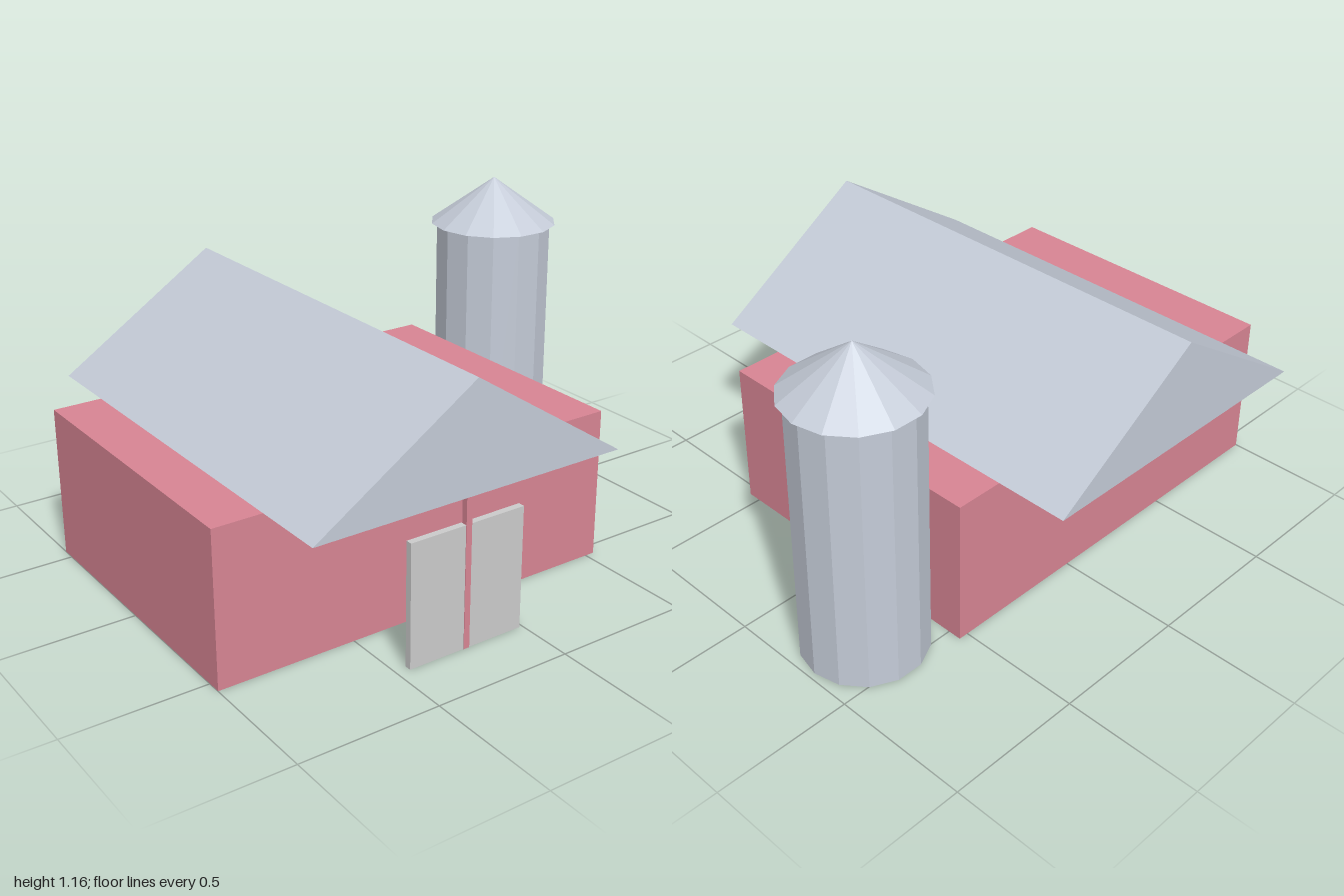
import * as THREE from 'three';

const red = new THREE.MeshStandardMaterial({ color: 0xd88594, flatShading: true });
const metal = new THREE.MeshStandardMaterial({ color: 0xc5ccd8, flatShading: true });
const grey = new THREE.MeshStandardMaterial({ color: 0xcccccc, flatShading: true });

export function createModel() {
  const model = new THREE.Group();
  model.name = 'barnWithSilo';

  const add = (name, geometry, material, x, y, z, parent = model) => {
    const mesh = new THREE.Mesh(geometry, material);
    mesh.name = name;
    mesh.position.set(x, y, z);
    parent.add(mesh);
    return mesh;
  };

  const barnX = -0.232;

  // Barn walls
  add('barnBody', new THREE.BoxGeometry(1.535, 0.55, 1.1), red, barnX, 0.275, 0);

  // Gabled roof: a solid triangular prism along z
  const gable = new THREE.Shape([
    new THREE.Vector2(-0.59, 0),
    new THREE.Vector2(0.59, 0),
    new THREE.Vector2(0, 0.385),
  ]);
  const roof = new THREE.ExtrudeGeometry(gable, { depth: 1.64, bevelEnabled: false });
  add('roof', roof, metal, barnX, 0.55, -0.82);

  // Double door standing under the front overhang, with a post between the leaves
  const doorway = new THREE.Group();
  doorway.name = 'doorway';
  doorway.position.set(barnX - 0.001, 0, 0.78);
  model.add(doorway);
  for (const [name, side] of [['leftDoor', 1], ['rightDoor', -1]]) {
    add(name, new THREE.BoxGeometry(0.21, 0.44, 0.024), grey, side * 0.116, 0.22, -0.001, doorway);
  }
  add('doorPost', new THREE.BoxGeometry(0.022, 0.55, 0.022), red, 0, 0.275, 0.002, doorway);

  // Fourteen-sided silo with a conical cap
  const silo = new THREE.Group();
  silo.name = 'silo';
  silo.position.set(0.758, 0, -0.33);
  silo.rotation.y = Math.PI / 2;
  model.add(silo);
  add('siloBody', new THREE.CylinderGeometry(0.22, 0.22, 0.99, 14), metal, 0, 0.495, 0, silo);
  add('siloCap', new THREE.ConeGeometry(0.24, 0.173, 14), metal, 0, 1.0785, 0, silo);

  return model;
}
